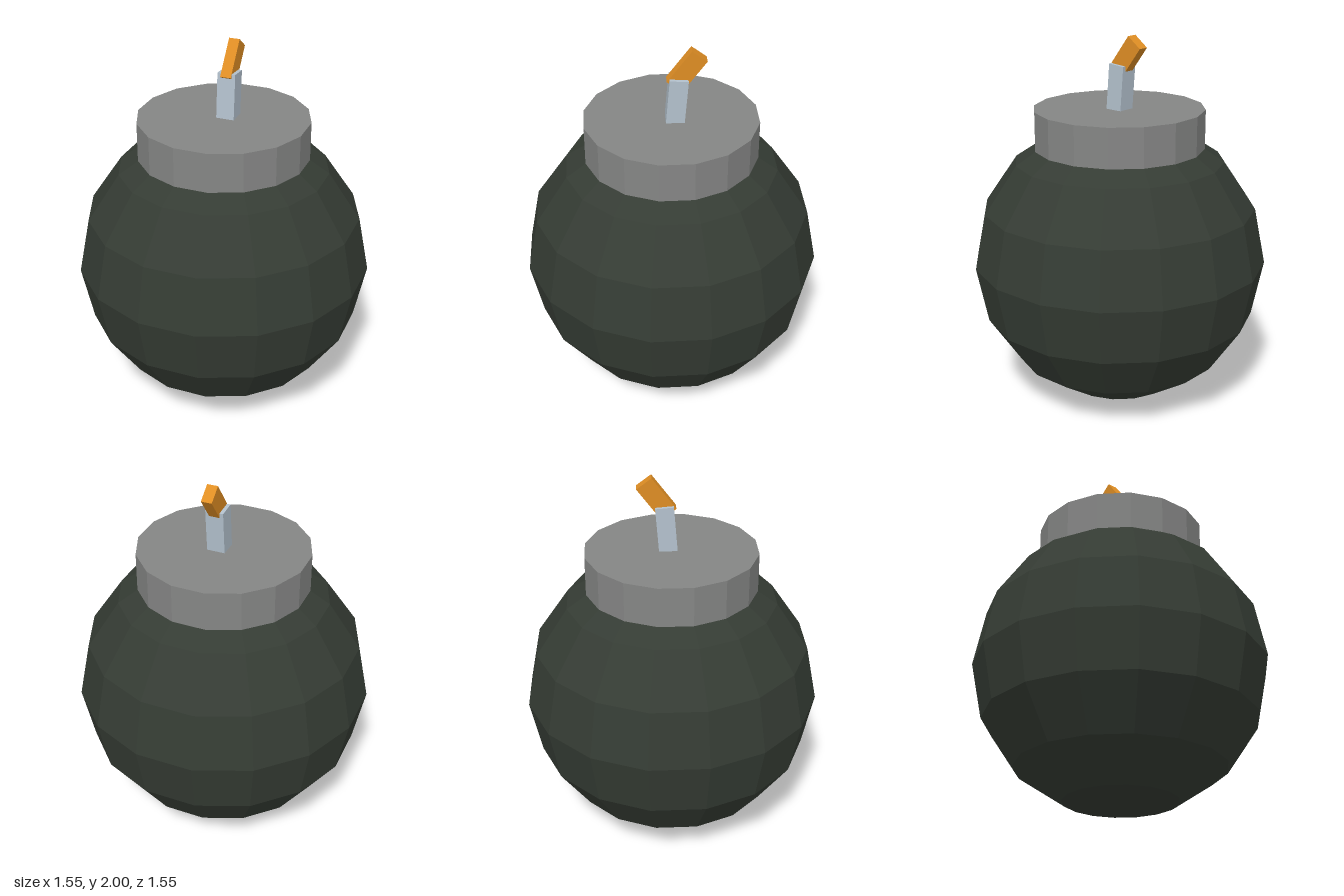
import * as THREE from 'three';

const SIDES = 16;

function makeMaterial(name, color) {
  const material = new THREE.MeshStandardMaterial({ color, flatShading: true });
  material.name = name;
  return material;
}

export function createModel() {
  const group = new THREE.Group();
  const shellGreen = makeMaterial('darkGreen', 0x353c34);
  const capGrey = makeMaterial('grey', 0x858685);
  const fuseBlue = makeMaterial('paleBlueGrey', 0xb4c2ce);
  const tipOrange = makeMaterial('orange', 0xdf8e24);

  function addPart(name, geometry, material, x, y, z, tilt = 0) {
    const mesh = new THREE.Mesh(geometry, material);
    mesh.name = name;
    mesh.position.set(x, y, z);
    mesh.rotation.x = tilt;
    group.add(mesh);
  }

  // Faceted round shell, turned so that flat sides face the axes
  const shell = new THREE.SphereGeometry(0.788, SIDES, 8);
  shell.rotateY(Math.PI / SIDES);
  shell.scale(1, 0.78 / 0.788, 1);
  addPart('shell', shell, shellGreen, 0, 0.78, 0);

  // Collar plate on top
  const cap = new THREE.CylinderGeometry(0.453, 0.453, 0.215, SIDES);
  cap.rotateY(Math.PI / SIDES);
  addPart('cap', cap, capGrey, 0, 1.5025, 0);

  // Fuse leaning slightly back, sunk into the cap
  addPart('fuse', new THREE.BoxGeometry(0.096, 0.27, 0.095), fuseBlue, 0.018, 1.711, -0.025, -0.08);

  // Burning tip bent further back, sunk into the fuse
  addPart('fuseTip', new THREE.BoxGeometry(0.057, 0.206, 0.096), tipOrange, 0.018, 1.8875, -0.0755, -0.645);

  return group;
}
